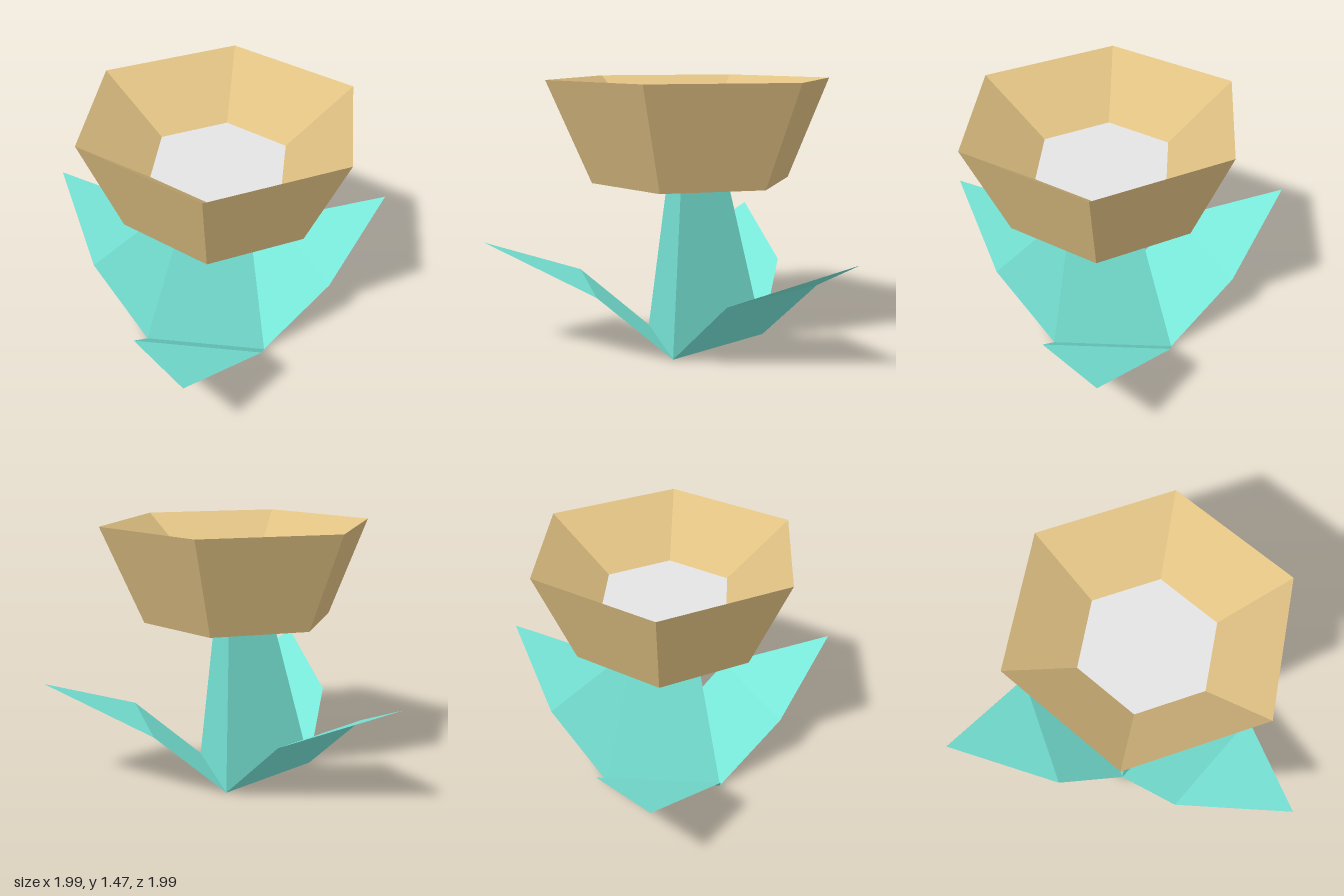
import * as THREE from 'three';

const flat = (name, color, side = THREE.FrontSide) => {
  const m = new THREE.MeshStandardMaterial({ color, flatShading: true, side });
  m.name = name;
  return m;
};

export function createModel() {
  const group = new THREE.Group();
  group.name = 'flower';
  const teal = flat('teal', 0x79e9da, THREE.DoubleSide);
  const tan = flat('tan', 0xe0c183);
  const grey = flat('pale grey', 0xe4e4e4);

  const add = (name, geometry, material, x, y = 0) => {
    const mesh = new THREE.Mesh(geometry, material);
    mesh.name = name;
    mesh.position.set(x, y, 0);
    group.add(mesh);
    return mesh;
  };

  const baseX = 0.155, headX = 0.205;
  const headBottom = 0.915, headTop = 1.465, floorY = 1.18;

  // Three-sided stem, sheared so that its top sits under the flower head
  const stem = new THREE.CylinderGeometry(0.2, 0.4, headBottom, 3, 1, false, Math.PI / 2);
  stem.translate(0, headBottom / 2, 0);
  const p = stem.attributes.position;
  for (let i = 0; i < p.count; i++) {
    p.setX(i, p.getX(i) + (headX - baseX) * p.getY(i) / headBottom);
  }
  stem.computeVertexNormals();
  add('stem', stem, teal, baseX);

  // Hexagonal flower head: underside, outer wall and sloping inner wall
  const profile = [
    [0, headBottom], [0.55, headBottom], [0.785, headTop], [0.395, floorY],
  ].map(([r, y]) => new THREE.Vector2(r, y));
  add('flowerHead', new THREE.LatheGeometry(profile, 6, Math.PI / 2), tan, headX);

  // Hexagonal floor inside the head
  const floor = new THREE.CircleGeometry(0.395, 6);
  floor.rotateX(-Math.PI / 2);
  add('flowerCentre', floor, grey, headX, floorY);

  // Leaf: a rising rectangle with a flatter triangular tip
  const w = 0.346;
  const leaf = new THREE.BufferGeometry();
  leaf.setAttribute('position', new THREE.Float32BufferAttribute([
    -w, 0, 0.2, w, 0, 0.2, w, 0.36, 0.6, -w, 0.36, 0.6, 0, 0.61, 1.15,
  ], 3));
  leaf.setIndex([0, 2, 1, 0, 3, 2, 3, 4, 2].map((v, i, a) => a[i - (i % 3) + [0, 2, 1][i % 3]]));
  const leafFlat = leaf.toNonIndexed();
  leafFlat.computeVertexNormals();

  // One leaf on each side of the stem
  for (let i = 0; i < 3; i++) {
    add('leaf' + (i + 1), leafFlat, teal, baseX).rotation.y = Math.PI / 6 + i * Math.PI * 2 / 3;
  }
  return group;
}
